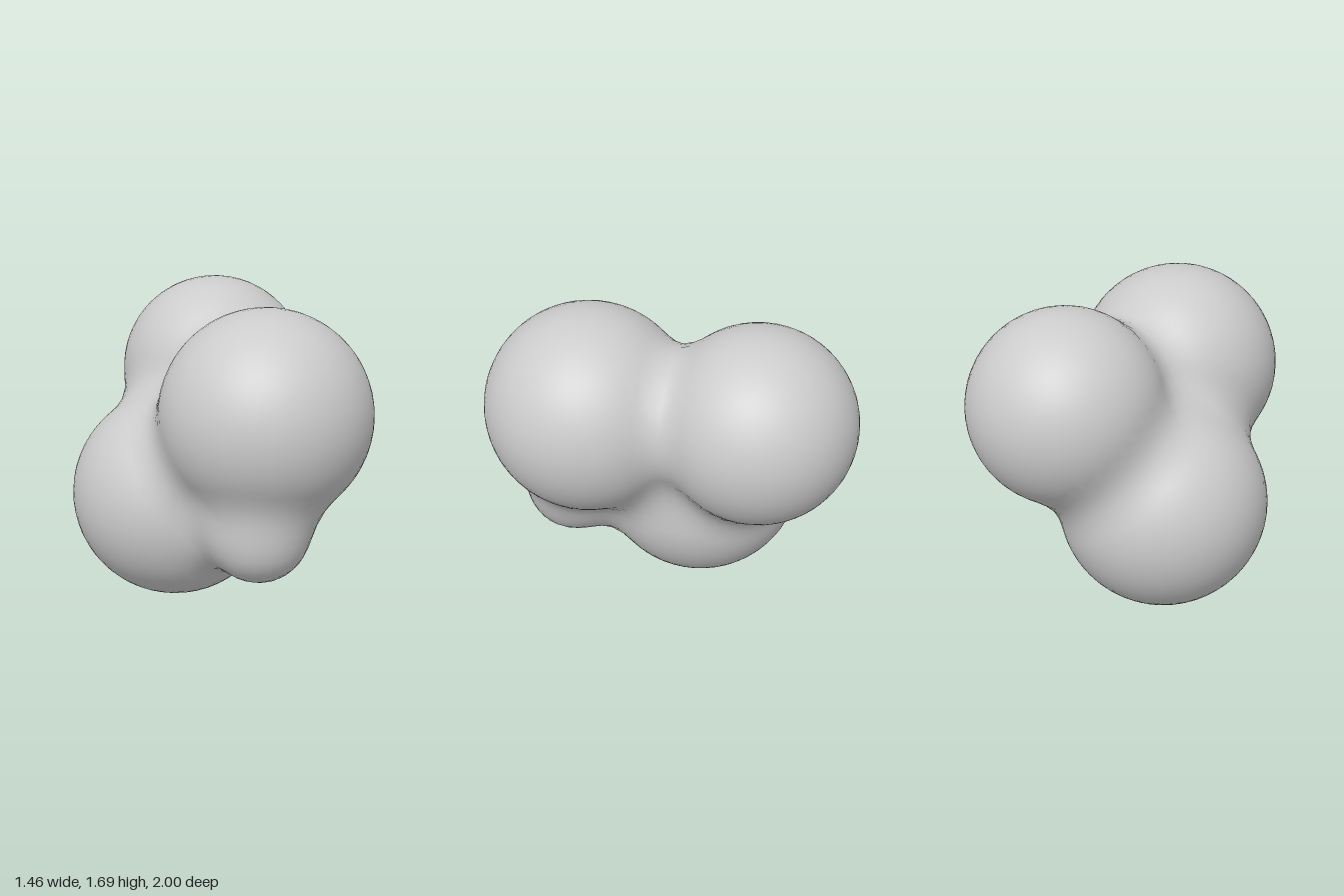
import * as THREE from 'three';

// Lobes of the blob: centre x, y, z and radius
const LOBES = [
  [0.17, 1.13, 0.44, 0.56], // upper front
  [0.195, 1.17, -0.475, 0.525], // upper back
  [-0.16, 0.57, -0.1, 0.57], // lower
  [0.09, 0.55, 0.57, 0.27], // small front bump
];
const BLEND = 0.2;
const STEP = 0.06;
const MIN = [-0.87, -0.15, -1.14];
const COUNT = [30, 34, 39];

// Smooth union of the lobes as a signed distance
function field(x, y, z) {
  let d = Infinity;
  for (const [cx, cy, cz, r] of LOBES) {
    const s = Math.hypot(x - cx, y - cy, z - cz) - r;
    const h = Math.max(BLEND - Math.abs(d - s), 0) / BLEND;
    d = Math.min(d, s) - h * h * BLEND * 0.25;
  }
  return d;
}

function gradient(p) {
  const e = 0.002;
  return new THREE.Vector3(
    field(p.x + e, p.y, p.z) - field(p.x - e, p.y, p.z),
    field(p.x, p.y + e, p.z) - field(p.x, p.y - e, p.z),
    field(p.x, p.y, p.z + e) - field(p.x, p.y, p.z - e),
  ).divideScalar(2 * e);
}

// Skin the field with quads: one vertex per crossed cell, one quad per crossed edge
function skinGeometry() {
  const positions = [], normals = [], index = [];
  const cells = new Map();
  const value = (g) => field(...g.map((n, a) => MIN[a] + n * STEP));

  const vertexOf = (cell) => {
    const key = cell.join();
    if (!cells.has(key)) {
      const p = new THREE.Vector3(...cell.map((n, a) => MIN[a] + (n + 0.5) * STEP));
      // Slide the cell centre onto the surface
      for (let i = 0; i < 6; i++) {
        const g = gradient(p);
        p.addScaledVector(g, -field(p.x, p.y, p.z) / Math.max(g.lengthSq(), 0.1));
      }
      cells.set(key, positions.length / 3);
      positions.push(p.x, p.y, p.z);
      normals.push(...gradient(p).normalize().toArray());
    }
    return cells.get(key);
  };

  for (let i = 1; i < COUNT[0]; i++)
    for (let j = 1; j < COUNT[1]; j++)
      for (let k = 1; k < COUNT[2]; k++) {
        const g = [i, j, k];
        const inside = value(g) < 0;
        for (let a = 0; a < 3; a++) {
          const next = [...g];
          next[a]++;
          if (inside === value(next) < 0) continue;
          const b = (a + 1) % 3, c = (a + 2) % 3;
          const q = [[-1, -1], [0, -1], [0, 0], [-1, 0]].map(([u, v]) => {
            const cell = [...g];
            cell[b] += u;
            cell[c] += v;
            return vertexOf(cell);
          });
          if (!inside) q.reverse();
          index.push(q[0], q[1], q[2], q[0], q[2], q[3]);
        }
      }

  const geometry = new THREE.BufferGeometry();
  geometry.setAttribute('position', new THREE.Float32BufferAttribute(positions, 3));
  geometry.setAttribute('normal', new THREE.Float32BufferAttribute(normals, 3));
  geometry.setIndex(index);
  return geometry;
}

export function createModel() {
  const group = new THREE.Group();
  group.name = 'blob';
  const body = new THREE.Mesh(skinGeometry(), new THREE.MeshStandardMaterial({ color: 0xcccccc }));
  body.name = 'mergedLobes';
  group.add(body);
  return group;
}
